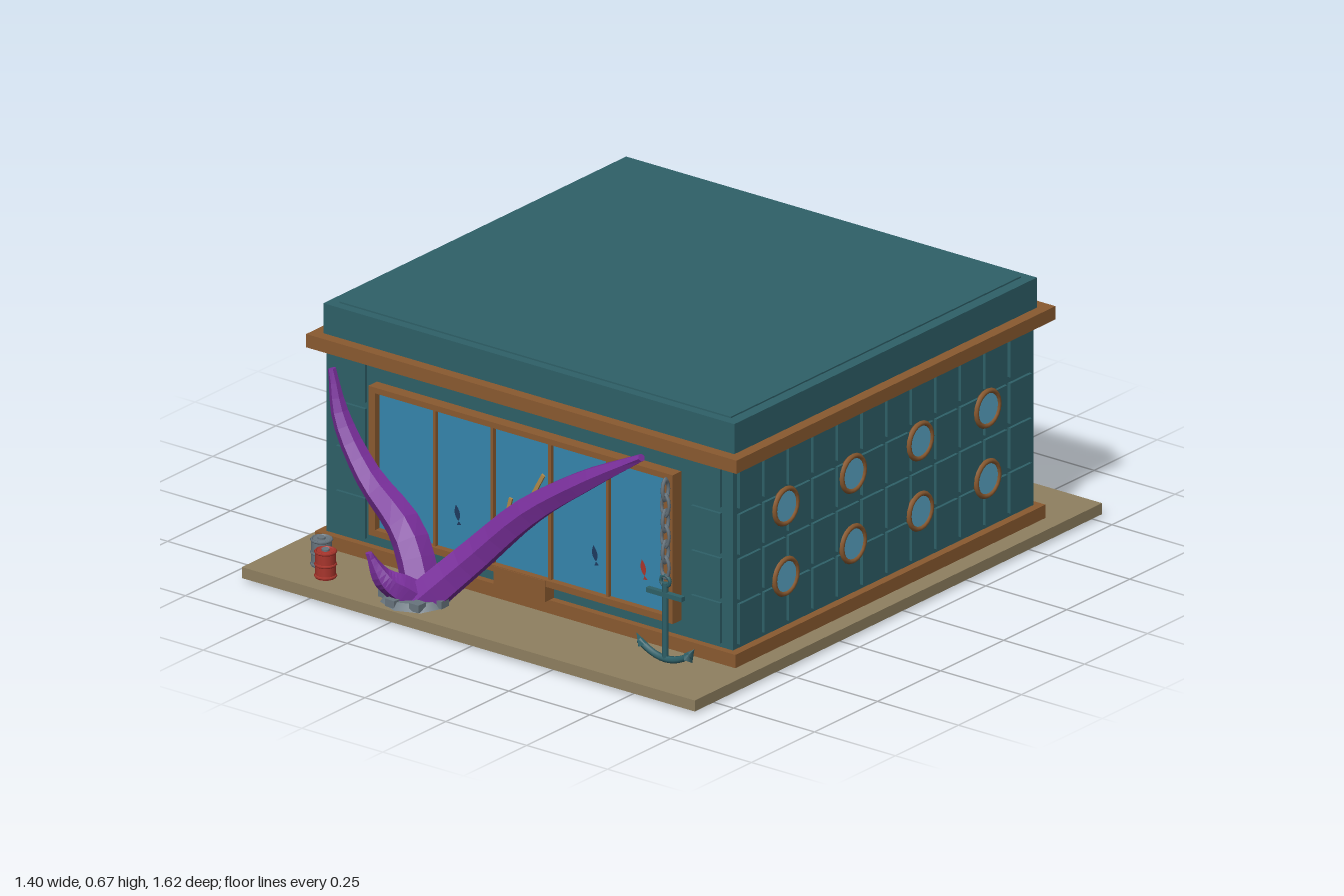
import * as THREE from 'three';

const mat = (name, color, side = THREE.FrontSide) => {
  const m = new THREE.MeshStandardMaterial({ color, side });
  m.name = name;
  return m;
};

export function createModel() {
  const root = new THREE.Group();
  const sand = mat('sand', 0x8f8060);
  const teal = mat('teal', 0x2e6068);
  const wood = mat('wood', 0x8a5a30);
  const glass = mat('tankGlass', 0x3585ad);
  const pane = mat('portholeGlass', 0x5aa6c6);
  const purple = mat('tentaclePurple', 0x7a2f9c);
  const grey = mat('grey', 0x68757e);
  const red = mat('red', 0xa8352c);
  const navy = mat('navy', 0x1d3a5f, THREE.DoubleSide);
  const coral = mat('coral', 0xb08a4a);

  const add = (name, geo, material, x = 0, y = 0, z = 0, parent = root) => {
    const m = new THREE.Mesh(geo, material);
    m.name = name;
    m.position.set(x, y, z);
    parent.add(m);
    return m;
  };
  // Box given by its limits
  const block = (name, material, x0, x1, y0, y1, z0, z1, parent) =>
    add(name, new THREE.BoxGeometry(x1 - x0, y1 - y0, z1 - z0), material,
      (x0 + x1) / 2, (y0 + y1) / 2, (z0 + z1) / 2, parent);
  const group = (name) => {
    const g = new THREE.Group();
    g.name = name;
    root.add(g);
    return g;
  };

  // Ground slab with the foundation showing underneath
  block('ground', sand, -0.7, 0.7, 0.001, 0.03, -0.775, 0.84);
  const corner = new THREE.Shape([[-0.61, -0.59], [0.55, 0.59], [-0.61, 0.59]].map(([x, z]) => new THREE.Vector2(x, z)));
  add('foundation', new THREE.ShapeGeometry(corner), teal).rotation.x = Math.PI / 2;

  // Main building
  block('skirting', wood, -0.65, 0.65, 0.03, 0.065, -0.615, 0.615);
  block('walls', teal, -0.628, 0.628, 0.03, 0.56, -0.596, 0.596);
  block('cornice', wood, -0.665, 0.665, 0.55, 0.585, -0.635, 0.63);
  block('roof', teal, -0.635, 0.635, 0.585, 0.664, -0.6, 0.6);
  block('roofTop', teal, -0.605, 0.605, 0.664, 0.668, -0.575, 0.575);

  // Raised wall panels
  const panels = group('wallPanels');
  const rowY = [0.13, 0.248, 0.366, 0.488];
  const cols = 12;
  for (const y of rowY) {
    for (let i = 0; i < cols; i++) {
      const z = (i - (cols - 1) / 2) * 0.0975;
      for (const s of [-1, 1]) add('sidePanel', new THREE.BoxGeometry(0.014, 0.106, 0.086), teal, s * 0.629, y, z, panels);
      const x = (i - (cols - 1) / 2) * 0.103;
      add('backPanel', new THREE.BoxGeometry(0.091, 0.106, 0.014), teal, x, y, -0.596, panels);
    }
    for (const s of [-1, 1]) add('frontPanel', new THREE.BoxGeometry(0.09, 0.106, 0.014), teal, s * 0.549, y, 0.597, panels);
  }

  // Portholes on both sides
  const portholes = group('portholes');
  for (const s of [-1, 1]) for (const y of [0.2, 0.385]) for (const z of [-0.4, -0.133, 0.133, 0.4]) {
    const ring = add('portholeRing', new THREE.TorusGeometry(0.045, 0.007, 6, 20), wood, s * 0.638, y, z, portholes);
    ring.rotation.y = Math.PI / 2;
    const disc = add('portholePane', new THREE.CylinderGeometry(0.042, 0.042, 0.008, 20), pane, s * 0.636, y, z, portholes);
    disc.rotation.z = Math.PI / 2;
  }

  // Front tank window
  const tank = group('tankWindow');
  block('glass', glass, -0.46, 0.455, 0.12, 0.485, 0.59, 0.612, tank);
  block('frameTop', wood, -0.473, 0.468, 0.482, 0.497, 0.595, 0.63, tank);
  block('frameBottom', wood, -0.473, 0.468, 0.105, 0.122, 0.595, 0.63, tank);
  block('frameRight', wood, -0.473, -0.452, 0.105, 0.497, 0.595, 0.63, tank);
  block('frameLeft', wood, 0.445, 0.468, 0.105, 0.497, 0.595, 0.63, tank);
  for (let i = 0; i < 5; i++) {
    const x = -0.275 + i * 0.178;
    block('mullion', wood, x - 0.004, x + 0.004, 0.12, 0.485, 0.6, 0.622, tank);
  }
  block('step', wood, -0.085, 0.075, 0.065, 0.12, 0.59, 0.632);

  // Fish and coral seen through the glass
  const fish = new THREE.Shape();
  fish.moveTo(0, 0.024);
  fish.quadraticCurveTo(0.016, 0, 0, -0.018);
  fish.lineTo(0.007, -0.028);
  fish.lineTo(-0.007, -0.028);
  fish.lineTo(0, -0.018);
  fish.quadraticCurveTo(-0.016, 0, 0, 0.024);
  [[-0.21, navy], [0.215, navy], [0.365, red]].forEach(([x, m]) => {
    add('fish', new THREE.ShapeGeometry(fish), m, x, 0.22, 0.614, tank).rotation.z = 0.2;
  });
  for (const [x, y, a] of [[0.035, 0.35, -0.5], [-0.055, 0.26, -0.25]])
    add('coral', new THREE.BoxGeometry(0.01, 0.09, 0.006), coral, x, y, 0.614, tank).rotation.z = a;

  // Faceted tapering tentacle: points are [x, y, z, radius]
  const tentacle = (name, pts, ref, flat) => {
    const curve = new THREE.CatmullRomCurve3(pts.map((p) => new THREE.Vector3(p[0], p[1], p[2])));
    const steps = 14, sides = 6, rings = [], pos = [];
    for (let i = 0; i <= steps; i++) {
      const t = i / steps, k = t * (pts.length - 1), a = Math.min(Math.floor(k), pts.length - 2);
      const r = THREE.MathUtils.lerp(pts[a][3], pts[a + 1][3], k - a);
      const p = curve.getPoint(t), T = curve.getTangent(t);
      const b = ref.clone().addScaledVector(T, -ref.dot(T)).normalize();
      const n = b.clone().cross(T);
      rings.push(Array.from({ length: sides }, (_, j) => {
        const g = ((j + 0.5) / sides) * Math.PI * 2;
        return p.clone().addScaledVector(n, Math.cos(g) * r).addScaledVector(b, Math.sin(g) * Math.max(r * flat, 0.012));
      }));
    }
    const tri = (...v) => v.forEach((q) => pos.push(q.x, q.y, q.z));
    for (let i = 0; i < steps; i++) for (let j = 0; j < sides; j++) {
      const k = (j + 1) % sides;
      tri(rings[i][j], rings[i][k], rings[i + 1][k]);
      tri(rings[i][j], rings[i + 1][k], rings[i + 1][j]);
    }
    for (let j = 1; j < sides - 1; j++) tri(rings[steps][0], rings[steps][j], rings[steps][j + 1]);
    const geo = new THREE.BufferGeometry();
    geo.setAttribute('position', new THREE.Float32BufferAttribute(pos, 3));
    geo.computeVertexNormals();
    add(name, geo, purple);
  };
  const Z = new THREE.Vector3(0, 0, 1), X = new THREE.Vector3(1, 0, 0);
  tentacle('rightTentacle', [[-0.23, 0.03, 0.72, 0.05], [-0.31, 0.17, 0.685, 0.047], [-0.45, 0.275, 0.66, 0.034],
    [-0.54, 0.4, 0.65, 0.024], [-0.57, 0.525, 0.65, 0.009]], Z, 1);
  tentacle('leftTentacle', [[-0.22, 0.03, 0.75, 0.05], [-0.1, 0.16, 0.69, 0.046], [0.05, 0.31, 0.665, 0.04],
    [0.22, 0.43, 0.66, 0.03], [0.395, 0.535, 0.66, 0.01]], Z, 0.9);
  tentacle('frontTentacle', [[-0.23, 0.03, 0.74, 0.045], [-0.26, 0.07, 0.785, 0.038], [-0.285, 0.1, 0.815, 0.026],
    [-0.31, 0.165, 0.838, 0.006]], X, 1.1);

  // Broken ground around the tentacles
  const rubble = group('rubble');
  add('crater', new THREE.CylinderGeometry(0.075, 0.09, 0.018, 8), grey, -0.235, 0.038, 0.745, rubble);
  for (let i = 0; i < 7; i++) {
    const a = i * 0.9;
    add('rock', new THREE.BoxGeometry(0.03, 0.02, 0.03), grey, -0.235 + Math.cos(a) * 0.075, 0.042, 0.745 + Math.sin(a) * 0.07, rubble).rotation.y = a * 1.7;
  }

  // Small open drums
  [[-0.555, 0.71, grey, 'greyDrum'], [-0.5, 0.765, red, 'redDrum']].forEach(([x, z, m, name]) => {
    add(name, new THREE.CylinderGeometry(0.026, 0.026, 0.07, 12), m, x, 0.065, z);
    for (const y of [0.035, 0.065, 0.098])
      add(name + 'Rim', new THREE.TorusGeometry(0.025, 0.004, 5, 12), m, x, y, z).rotation.x = Math.PI / 2;
    add(name + 'Lid', new THREE.CylinderGeometry(0.01, 0.01, 0.006, 10), grey, x, 0.102, z);
  });

  // Anchor hanging on a chain
  const anchor = group('anchor');
  anchor.position.set(0.5, 0, 0.7);
  add('shank', new THREE.CylinderGeometry(0.008, 0.008, 0.2, 8), teal, 0, 0.145, 0, anchor);
  add('stock', new THREE.BoxGeometry(0.11, 0.012, 0.014), teal, 0, 0.215, 0, anchor);
  add('eye', new THREE.TorusGeometry(0.014, 0.005, 6, 12), teal, 0, 0.25, 0, anchor);
  const arm = new THREE.QuadraticBezierCurve3(new THREE.Vector3(-0.08, 0.075, 0), new THREE.Vector3(0, 0.015, 0), new THREE.Vector3(0.08, 0.075, 0));
  add('arms', new THREE.TubeGeometry(arm, 12, 0.009, 6), teal, 0, 0, 0, anchor);
  for (const s of [-1, 1])
    add('fluke', new THREE.ConeGeometry(0.016, 0.035, 4), teal, s * 0.08, 0.078, 0, anchor).rotation.z = -s * 0.6;
  for (let i = 0; i < 6; i++) {
    const link = add('chainLink', new THREE.TorusGeometry(0.015, 0.005, 6, 10), grey, 0, 0.285 + i * 0.041, 0, anchor);
    link.scale.set(0.8, 1.7, 1);
    link.rotation.y = (i % 2) * Math.PI / 2;
  }

  // Wooden water barrel behind the building
  const barrel = group('barrel');
  barrel.position.set(0.13, 0, -0.677);
  add('barrelBody', new THREE.CylinderGeometry(0.075, 0.075, 0.105, 16), wood, 0, 0.082, 0, barrel);
  add('barrelBand', new THREE.CylinderGeometry(0.081, 0.081, 0.012, 16), wood, 0, 0.088, 0, barrel);
  add('barrelRoof', new THREE.ConeGeometry(0.09, 0.085, 16), wood, 0, 0.175, 0, barrel);

  return root;
}
